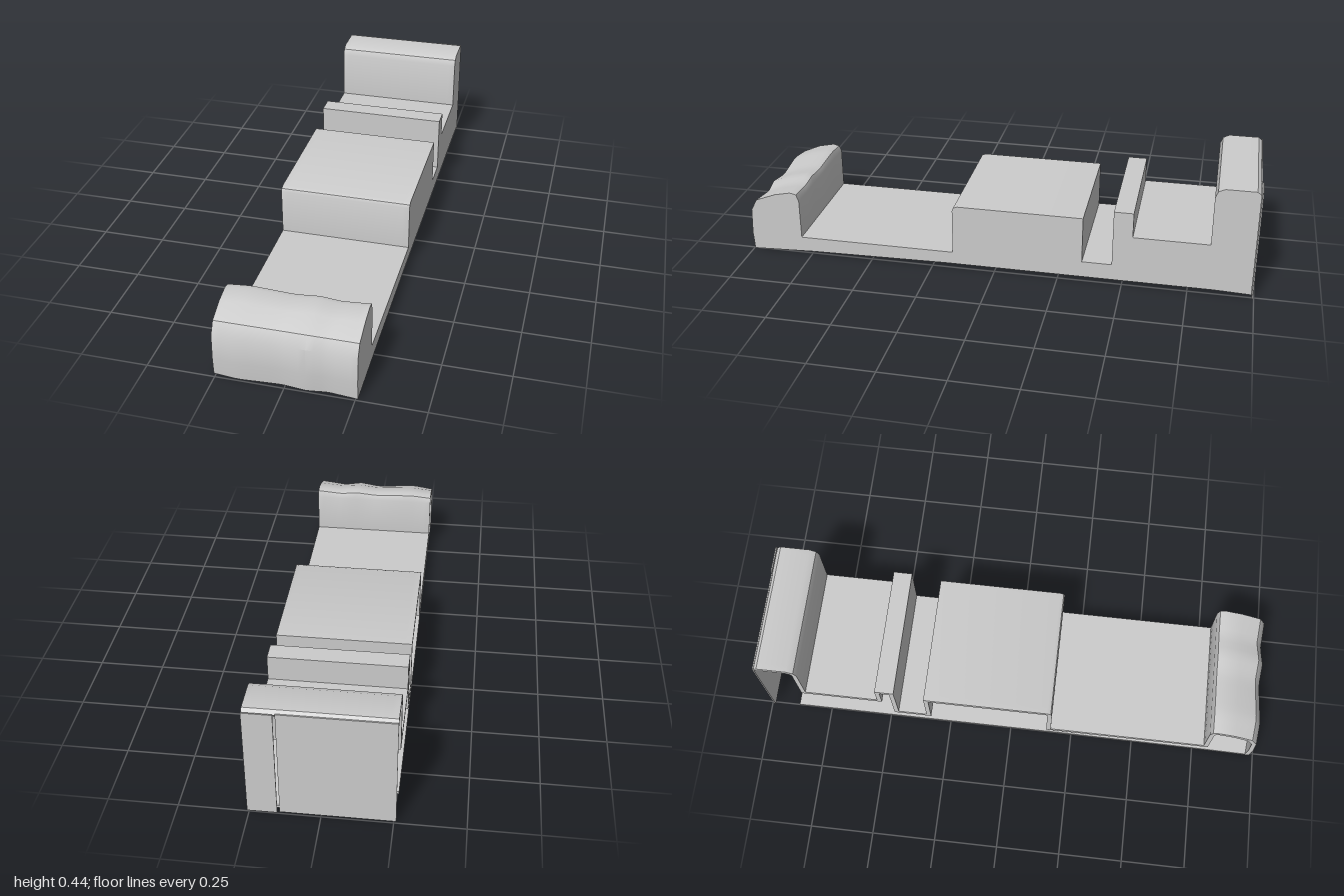
import * as THREE from 'three';
import { toCreasedNormals } from 'three/addons/utils/BufferGeometryUtils.js';

const material = new THREE.MeshStandardMaterial({ color: 0xcccccc, side: THREE.DoubleSide });
const HALF = 0.258;

// stepped outline from the front foot over to the back, as [z, y]
const outline = [
  [0.99, 0.012], [0.994, 0.08], [0.989, 0.18], [0.965, 0.225], [0.89, 0.256], [0.825, 0.27],
  [0.8, 0.264], [0.79, 0.24], [0.79, 0.08], [0.165, 0.08], [0.165, 0.262], [0.16, 0.274],
  [0.145, 0.28], [-0.345, 0.28], [-0.345, 0.095], [-0.46, 0.095], [-0.46, 0.32], [-0.535, 0.32],
  [-0.535, 0.22], [-0.825, 0.22], [-0.825, 0.415], [-0.835, 0.44], [-0.86, 0.452],
  [-0.975, 0.452], [-0.99, 0.44],
];
// slightly sloping underside, front to back
const underside = [[0.99, 0.01], [0.75, 0.02], [0.2, 0.03], [-0.84, 0.03], [-0.88, 0.029]];
const undersideTail = [[-0.88, 0.029], [-0.99, 0.025]];

// gentle ripple across the width of the nose, as [x, strength]
const ripple = [[-0.26, -1], [-0.17, 1], [-0.01, -1], [0.08, 1], [0.15, -1], [0.26, 1]];
function rippleAt(x) {
  for (let i = 1; i < ripple.length; i++) {
    const [a, va] = ripple[i - 1], [b, vb] = ripple[i];
    if (x <= b) return va + (vb - va) * (x - a) / (b - a);
  }
  return 1;
}

// shifts a [z, y] path to its inner (right-hand) side with mitred corners
function offset(path, t) {
  const normal = (a, b) => new THREE.Vector2(b[1] - a[1], b[0] - a[0]).normalize();
  return path.map((p, i) => {
    const n0 = normal(path[Math.max(i - 1, 0)], path[Math.max(i, 1)]);
    const last = path.length - 1;
    const n1 = normal(path[Math.min(i, last - 1)], path[Math.min(i + 1, last)]);
    const m = n0.clone().add(n1);
    m.multiplyScalar(2 * t / m.lengthSq());
    return [p[0] - m.x, p[1] + m.y];
  });
}

// extrudes a closed [z, y] section along x and ripples its nose
function slab(name, section, x0, x1, steps = 1) {
  const shape = new THREE.Shape(section.map(([z, y]) => new THREE.Vector2(-z, y)));
  const geo = new THREE.ExtrudeGeometry(shape, { depth: x1 - x0, steps, bevelEnabled: false });
  geo.rotateY(Math.PI / 2).translate(x0, 0, 0);
  const pos = geo.attributes.position;
  for (let i = 0; i < pos.count; i++) {
    const z = pos.getZ(i);
    if (z < 0.8) continue;
    const w = rippleAt(pos.getX(i));
    if (pos.getY(i) > 0.15) pos.setY(i, pos.getY(i) + 0.004 * w);
    if (z > 0.95) pos.setZ(i, z + 0.005 * w);
  }
  geo.computeVertexNormals();
  const mesh = new THREE.Mesh(toCreasedNormals(geo, 0.5), material);
  mesh.name = name;
  return mesh;
}

// closed strip of thickness t below a path
const strip = (path, t) => [...path, ...offset(path, t).reverse()];

function panel(name, x0, x1, z) {
  const mesh = new THREE.Mesh(new THREE.BoxGeometry(x1 - x0, 0.437, 0.005), material);
  mesh.position.set((x0 + x1) / 2, 0.2265, z);
  mesh.name = name;
  return mesh;
}

export function createModel() {
  const group = new THREE.Group();
  group.name = 'steppedShell';

  // folded upper sheet, open at the -x end
  group.add(slab('steppedCover', strip(outline, 0.018), -HALF, HALF, 20));

  // closed end wall on the +x side
  const wall = [...outline, ...undersideTail.slice().reverse(), ...underside.slice(0, -1).reverse()];
  group.add(slab('sideWall', wall, HALF - 0.006, HALF + 0.0005));

  // base sheet, with its rear corner cut away on the open side
  const raised = (path) => [...path, ...path.map(([z, y]) => [z, y + 0.01]).reverse()];
  group.add(slab('basePlate', raised(underside), -HALF, HALF, 20));
  group.add(slab('basePlateTail', raised(undersideTail), 0.08, HALF));

  // two thin back panels with a narrow slit between them
  group.add(panel('backPanelWide', -HALF, 0.145, -0.99));
  group.add(panel('backPanelNarrow', 0.153, HALF, -0.9945));
  return group;
}
